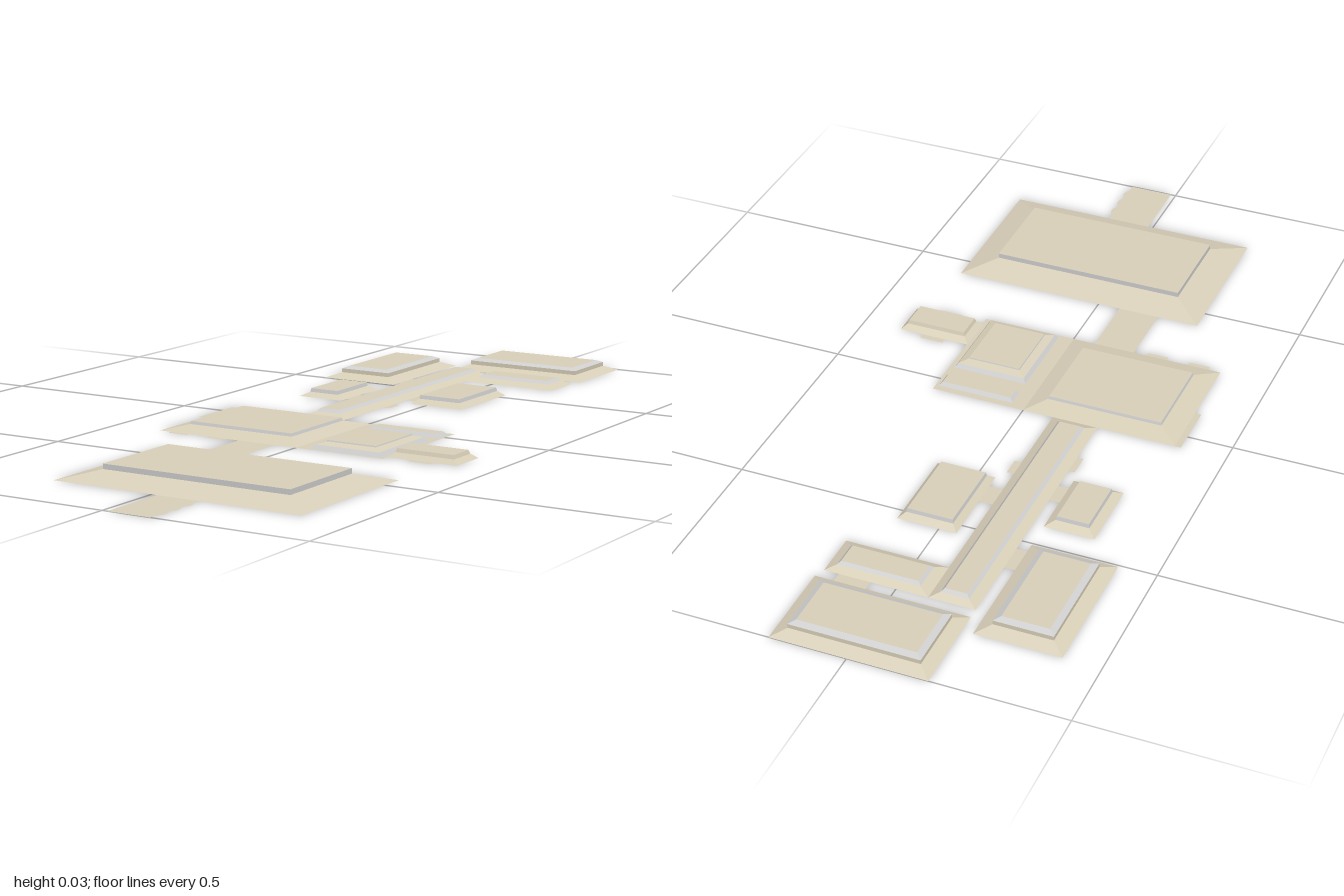
import * as THREE from 'three';

const plaster = new THREE.MeshStandardMaterial({ color: 0xd9d0b9, side: THREE.DoubleSide, flatShading: true });
plaster.name = 'beige plaster';
const trim = new THREE.MeshStandardMaterial({ color: 0xd0d0d0, side: THREE.DoubleSide, flatShading: true });
trim.name = 'grey trim';

// A ring is [x0, x1, z0, z1, y]; corners run so that the skin faces up and out
const corners = ([x0, x1, z0, z1, y]) => [[x0, y, z0], [x0, y, z1], [x1, y, z1], [x1, y, z0]];
const inset = ([x0, x1, z0, z1], d, y) => [x0 + d, x1 - d, z0 + d, z1 - d, y];

// Open stepped shell through a stack of rings, closed by a flat panel on top
function shell(name, rings, mats) {
  const pos = [];
  const geo = new THREE.BufferGeometry();
  const quad = (a, b, c, d, m) => {
    geo.addGroup(pos.length / 3, 6, m);
    pos.push(...a, ...b, ...c, ...a, ...c, ...d);
  };
  for (let i = 0; i + 1 < rings.length; i++) {
    const lo = corners(rings[i]), hi = corners(rings[i + 1]);
    for (let k = 0; k < 4; k++) {
      const n = (k + 1) % 4;
      quad(lo[k], lo[n], hi[n], hi[k], mats[i]);
    }
  }
  quad(...corners(rings[rings.length - 1]), 0);
  geo.setAttribute('position', new THREE.Float32BufferAttribute(pos, 3));
  geo.computeVertexNormals();
  const mesh = new THREE.Mesh(geo, [plaster, trim]);
  mesh.name = name;
  return mesh;
}

// Sloped border, upright step, flat panel
function tray(name, outer, inner, yStep, yTop, lip = 0.002, mat = 1) {
  return shell(name, [[...outer, 0], [...inner, yStep], inset(inner, lip, yTop)], [0, mat]);
}

// Sloped border, upright wall, bevelled trim, flat panel
function bevelTray(name, outer, inner) {
  return shell(name,
    [[...outer, 0], [...inner, 0.012], [...inner, 0.022], inset(inner, 0.014, 0.028)], [0, 0, 1]);
}

function rectPath(path, [x0, x1, z0, z1]) {
  path.moveTo(x0, -z0);
  path.lineTo(x0, -z1);
  path.lineTo(x1, -z1);
  path.lineTo(x1, -z0);
  path.closePath();
  return path;
}

function flat(name, shape) {
  const mesh = new THREE.Mesh(new THREE.ShapeGeometry(shape, 6).rotateX(-Math.PI / 2), plaster);
  mesh.name = name;
  return mesh;
}

export function createModel() {
  const model = new THREE.Group();
  model.name = 'ceilingPlan';

  // Large rooms
  model.add(
    tray('frontHall', [-0.257, 0.37, 0.442, 0.828], [-0.18, 0.298, 0.516, 0.756], 0.02, 0.032, 0),
    tray('middleRoom', [-0.375, 0, -0.045, 0.275], [-0.325, -0.043, 0.003, 0.225], 0.012, 0.019),
    bevelTray('leftBackRoom', [-0.412, -0.21, -0.828, -0.505], [-0.38, -0.242, -0.797, -0.535]),
    bevelTray('rearRoom', [-0.185, 0.18, -1, -0.78], [-0.155, 0.15, -0.97, -0.81]));

  // Small rooms
  model.add(
    tray('rightRoom', [-0.042, 0.1, -0.53, -0.31], [-0.028, 0.085, -0.515, -0.325], 0.012, 0.021),
    tray('leftRoom', [-0.33, -0.21, -0.435, -0.255], [-0.31, -0.23, -0.415, -0.272], 0.01, 0.019),
    tray('sideRoom', [0.228, 0.405, 0.155, 0.252], [0.242, 0.392, 0.17, 0.242], 0.011, 0.02, 0.003, 0));

  // L-shaped corridor
  model.add(
    tray('corridor', [-0.185, -0.075, -0.755, -0.045], [-0.163, -0.097, -0.738, -0.07], 0.01, 0.017, 0.007),
    tray('corridorBranch', [-0.075, 0.17, -0.755, -0.645], [-0.05, 0.147, -0.738, -0.667], 0.01, 0.017, 0.007));

  // Flat ceiling beside the middle room, opened for two recesses
  const strip = [0.035, 0.222, -0.028, 0.018], square = [0.036, 0.218, 0.055, 0.268];
  const side = rectPath(new THREE.Shape(), [0, 0.23, -0.045, 0.275]);
  side.holes.push(rectPath(new THREE.Path(), strip), rectPath(new THREE.Path(), square));
  model.add(
    flat('sideCeiling', side),
    shell('stripRecess', [[...strip, 0], inset(strip, 0.007, 0.009)], [1]),
    shell('squareRecess',
      [[...square, 0], inset(square, 0.007, 0.01), inset(square, 0.026, 0.016), inset(square, 0.027, 0.019)],
      [1, 0, 1]));

  // Flat passages, doorways and window bays
  const flats = {
    hallPassage: [-0.155, -0.055, 0.275, 0.442],
    leftBay: [-0.39, -0.375, -0.045, 0.095],
    frontBayA: [-0.345, -0.293, 0.275, 0.286],
    frontBayB: [-0.24, -0.188, 0.275, 0.286],
    sideBayBack: [0.288, 0.347, 0.14, 0.155],
    sideBayFront: [0.288, 0.347, 0.252, 0.268],
    leftBackDoor: [-0.21, -0.185, -0.6, -0.53],
    leftDoor: [-0.21, -0.185, -0.342, -0.285],
    corridorBayLeft: [-0.2, -0.185, -0.225, -0.17],
    rightDoor: [-0.075, -0.042, -0.405, -0.345],
    corridorBayRight: [-0.075, -0.058, -0.282, -0.235],
    rearDoor: [0.06, 0.135, -0.78, -0.755],
  };
  for (const [name, r] of Object.entries(flats)) model.add(flat(name, rectPath(new THREE.Shape(), r)));

  // Porch with a scalloped edge
  const porch = new THREE.Shape();
  porch.moveTo(0.013, -0.828);
  porch.lineTo(0.013, -1);
  porch.lineTo(0.12, -1);
  for (const z of [0.98, 0.935, 0.89]) {
    porch.lineTo(0.12, -z);
    porch.quadraticCurveTo(0.138, -(z - 0.021), 0.12, -(z - 0.042));
  }
  porch.lineTo(0.12, -0.828);
  model.add(flat('porch', porch));

  return model;
}
